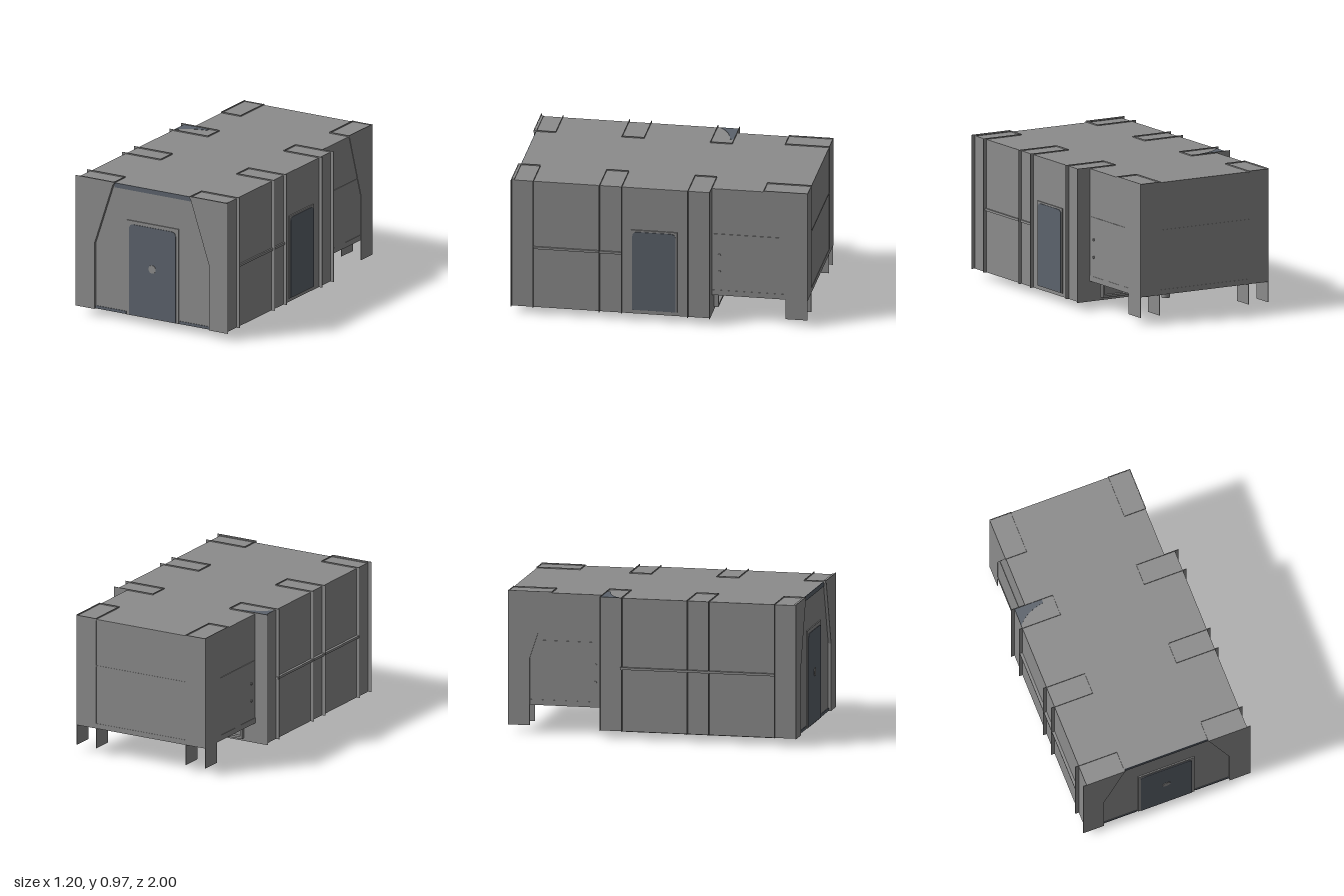
import * as THREE from 'three';

export function createModel() {
  const model = new THREE.Group();
  const grey = new THREE.MeshStandardMaterial({ name: 'shelterGrey', color: 0x8c8c8c });
  const blue = new THREE.MeshStandardMaterial({ name: 'panelBlue', color: 0x5c636c });

  function add(name, geometry, material = grey) {
    const mesh = new THREE.Mesh(geometry, material);
    mesh.name = name;
    model.add(mesh);
    return mesh;
  }
  // Box given by its limits on each axis
  function box(name, x0, x1, y0, y1, z0, z1, material) {
    const g = new THREE.BoxGeometry(Math.abs(x1 - x0), y1 - y0, z1 - z0);
    g.translate((x0 + x1) / 2, (y0 + y1) / 2, (z0 + z1) / 2);
    return add(name, g, material);
  }
  function outline(points) {
    return new THREE.Shape(points.map(([x, y]) => new THREE.Vector2(x, y)));
  }
  // Door slab with rounded top corners, in its own xy plane
  function doorShape(w, y0, y1, r) {
    const s = new THREE.Shape();
    s.moveTo(-w, y0);
    s.lineTo(w, y0);
    s.lineTo(w, y1 - r);
    s.quadraticCurveTo(w, y1, w - r, y1);
    s.lineTo(-w + r, y1);
    s.quadraticCurveTo(-w, y1, -w, y1 - r);
    return s;
  }
  const extrude = (shape, depth) =>
    new THREE.ExtrudeGeometry(shape, { depth, bevelEnabled: false, curveSegments: 6 });

  // Main cabin and narrower rear compartment
  box('mainCabin', -0.575, 0.575, 0.05, 0.957, -0.35, 0.98);
  box('floorPlate', -0.56, 0.56, 0.045, 0.05, -0.21, 0.85);
  box('rearCompartment', -0.5, 0.5, 0.225, 0.957, -0.998, -0.35);
  box('rearSkirt', -0.5, 0.5, 0.19, 0.225, -1, -0.985);

  const T = 0.002; // half thickness of sheet flanges
  const pairs = [[0.85, 0.998], [0.25, 0.4], [-0.348, -0.2]];
  for (const s of [-1, 1]) {
    // Side flanges wrapping onto the roof in pairs
    for (const [za, zb] of pairs) {
      for (const z of [za, zb]) {
        box('sideFlange', s * 0.57, s * 0.6, 0.05, 0.965, z - T, z + T);
        box('roofFlange', s * 0.3, s * 0.6, 0.95, 0.965, z - T, z + T);
      }
      box('roofFlangeJoin', s * 0.3 - T, s * 0.3 + T, 0.95, 0.965, za, zb);
    }
    box('rearShoulder', s * 0.5, s * 0.6, 0.05, 0.965, -0.35, -0.346);

    // Front corner plate with sloping inner edge
    const front = outline([[0.575, 0.05], [0.575, 0.962], [0.3, 0.962], [0.45, 0.51], [0.45, 0.05]]
      .map(([x, y]) => [s * x, y]));
    const frontPlate = add('frontCornerPlate', extrude(front, 0.02));
    frontPlate.position.z = 0.98;

    // Rear corner post: sloping side plate, inner leg plate, back plate
    const post = outline([[0.998, 0.05], [0.998, 0.965], [0.7, 0.965], [0.85, 0.51], [0.85, 0.05]]);
    const postPlate = add('rearCornerPost', extrude(post, 0.004));
    postPlate.rotation.y = Math.PI / 2;
    postPlate.position.x = s > 0 ? 0.5 : -0.504;
    box('innerLegPlate', s * 0.348, s * 0.352, 0.05, 0.225, -0.998, -0.85);
    box('rearCornerPlate', s * 0.35, s * 0.504, 0.19, 0.962, -1, -0.996);
    box('rearRoofFlange', s * 0.35 - T, s * 0.35 + T, 0.95, 0.965, -1, -0.7);
    box('rearRoofFlange', s * 0.35, s * 0.504, 0.95, 0.965, -0.702, -0.698);
    box('rearRoofEdge', s * 0.5, s * 0.504, 0.95, 0.965, -1, -0.7);

    // Skirts, ribs and bolts of the rear compartment
    box('sideSkirt', s * 0.49, s * 0.502, 0.19, 0.227, -0.85, -0.35);
    box('rearSideRib', s * 0.5, s * 0.504, 0.627, 0.633, -0.85, -0.36);
    for (const y of [0.36, 0.48]) {
      const bolt = new THREE.CylinderGeometry(0.01, 0.01, 0.008, 12);
      bolt.rotateZ(Math.PI / 2);
      add('bolt', bolt).position.set(s * 0.503, y, -0.4);
    }

    // Rail along the cabin wall
    box('sideRail', s * 0.57, s * (s > 0 ? 0.586 : 0.594), 0.472, 0.488, s > 0 ? 0.25 : -0.21, 0.85);
    // Lower coloured strip beside the front door
    box('lowerStrip', s * 0.21, s * 0.45, 0.05, 0.07, 0.98, 0.984, blue);
  }
  box('rearRib', -0.35, 0.35, 0.627, 0.633, -1, -0.997);
  box('upperStrip', -0.3, 0.3, 0.925, 0.957, 0.98, 0.984, blue);

  // Roof patch at the rear right corner
  const patch = new THREE.Shape();
  patch.moveTo(-0.575, 0.35);
  patch.lineTo(-0.38, 0.345);
  patch.lineTo(-0.38, 0.32);
  patch.quadraticCurveTo(-0.51, 0.3, -0.575, 0.22);
  const patchGeometry = extrude(patch, 0.002);
  patchGeometry.rotateX(-Math.PI / 2);
  add('roofPatch', patchGeometry, blue).position.y = 0.957;

  // Doors: frame, slab and step trim
  function door(name, halfWidth, y0, y1, frame) {
    const g = new THREE.Group();
    g.name = name;
    const surround = outline([[-halfWidth - frame, y0], [halfWidth + frame, y0],
      [halfWidth + frame, y1 + frame * 1.2], [-halfWidth - frame, y1 + frame * 1.2]]);
    const rim = new THREE.Mesh(extrude(surround, 0.008), grey);
    rim.name = name + 'Frame';
    const slab = new THREE.Mesh(extrude(doorShape(halfWidth, y0 + 0.005, y1, 0.035), 0.004), blue);
    slab.name = name + 'Slab';
    slab.position.z = 0.008;
    g.add(rim, slab);
    model.add(g);
    return g;
  }
  door('frontDoor', 0.183, 0.05, 0.69, 0.02).position.z = 0.98;
  const sideDoor = door('sideDoor', 0.147, 0.075, 0.642, 0.01);
  sideDoor.rotation.y = Math.PI / 2;
  sideDoor.position.set(0.575, 0, 0.03);

  // Boss on the front door
  const boss = new THREE.CylinderGeometry(0.029, 0.029, 0.004, 10);
  boss.rotateX(Math.PI / 2);
  add('doorBoss', boss).position.set(0, 0.4, 0.993);

  // Drain stubs under the floor and matching ports on the rear wall
  for (const [x, r, bottom] of [[-0.133, 0.029, 0], [-0.075, 0.024, 0.032], [0, 0.027, 0.022]]) {
    const h = 0.055 - bottom;
    add('drainStub', new THREE.CylinderGeometry(r, r, h, 16)).position.set(x, bottom + h / 2, -0.287);
    const port = new THREE.TorusGeometry(0.026, 0.007, 6, 16);
    add('portRing', port).position.set(x, 0.12, -0.355);
  }

  // Open rectangular brackets on the rear wall
  for (const x of [-0.3, 0.3]) {
    const frame = outline([[-0.115, 0.07], [0.115, 0.07], [0.115, 0.19], [-0.115, 0.19]]);
    frame.holes.push(outline([[-0.1, 0.085], [-0.1, 0.175], [0.1, 0.175], [0.1, 0.085]]));
    add('rearBracket', extrude(frame, 0.03)).position.set(x, 0, -0.38);
  }
  return model;
}
